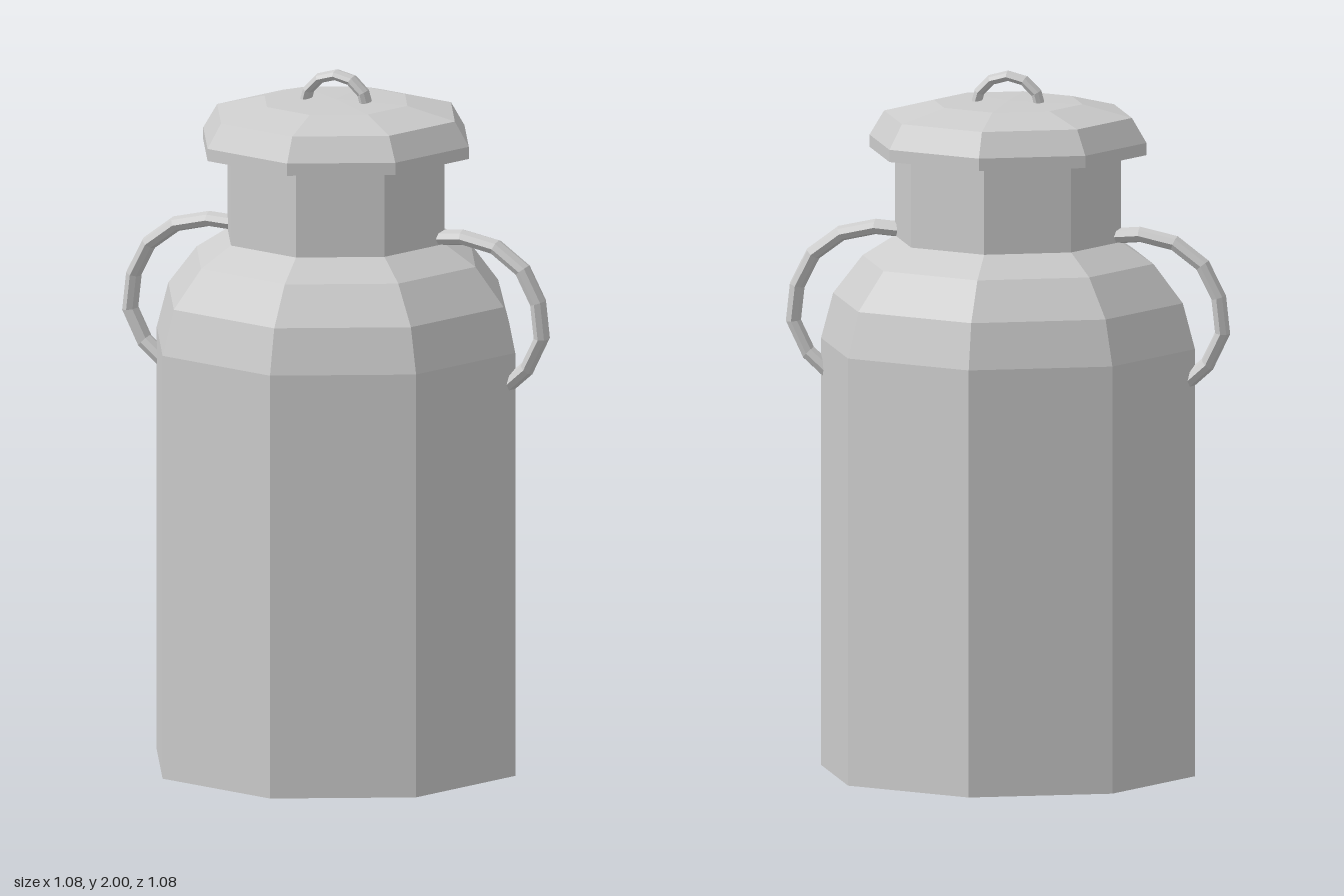
import * as THREE from 'three';

const TURN = THREE.MathUtils.degToRad(49.7); // heading of the handles, along a body corner
const SIDES = 8;

export function createModel() {
  const model = new THREE.Group();
  model.name = 'milkCan';
  const metal = new THREE.MeshStandardMaterial({ color: 0xcccccc, flatShading: true });
  const openMetal = metal.clone();
  openMetal.side = THREE.DoubleSide;

  const vec2 = (p) => new THREE.Vector2(p[0], p[1]);

  // Eight-sided turned part from a [radius, height] profile
  function turned(name, profile) {
    const geo = new THREE.LatheGeometry(profile.map(vec2), SIDES, Math.PI / 2 - TURN);
    const mesh = new THREE.Mesh(geo, metal);
    mesh.name = name;
    model.add(mesh);
  }

  // Flattened bar along a curve in the XY plane, turned to a heading
  function bar(name, path, segments, thick, width, heading) {
    const curve = new THREE.CatmullRomCurve3(path.map(([x, y]) => new THREE.Vector3(x, y, 0)));
    const geo = new THREE.TubeGeometry(curve, segments, thick / 2, 8);
    geo.scale(1, 1, width / thick);
    const mesh = new THREE.Mesh(geo, openMetal);
    mesh.name = name;
    mesh.rotation.y = -heading;
    model.add(mesh);
  }

  // Body with rounded shoulder
  turned('body', [[0, 0], [0.54, 0], [0.54, 1.22], [0.505, 1.35], [0.42, 1.46], [0.327, 1.52]]);
  turned('neck', [[0.327, 1.52], [0.327, 1.78]]);
  // Overhanging lid, closed underneath
  turned('lid', [[0, 1.77], [0.4, 1.77], [0.4, 1.805], [0.358, 1.875], [0.215, 1.91], [0, 1.915]]);

  // Side handles from neck to body
  const handlePath = [[0.28, 1.535], [0.42, 1.54], [0.54, 1.485], [0.61, 1.365], [0.61, 1.225], [0.5, 1.11]];
  bar('leftHandle', handlePath, 7, 0.044, 0.068, TURN);
  bar('rightHandle', handlePath, 7, 0.044, 0.068, TURN + Math.PI);

  // Arched grip on the lid
  const arch = [];
  for (let i = 0; i <= 6; i++) {
    const a = (i / 6) * Math.PI;
    arch.push([-0.095 * Math.cos(a), 1.89 + 0.095 * Math.sin(a)]);
  }
  bar('lidGrip', arch, 6, 0.03, 0.062, TURN);

  return model;
}
